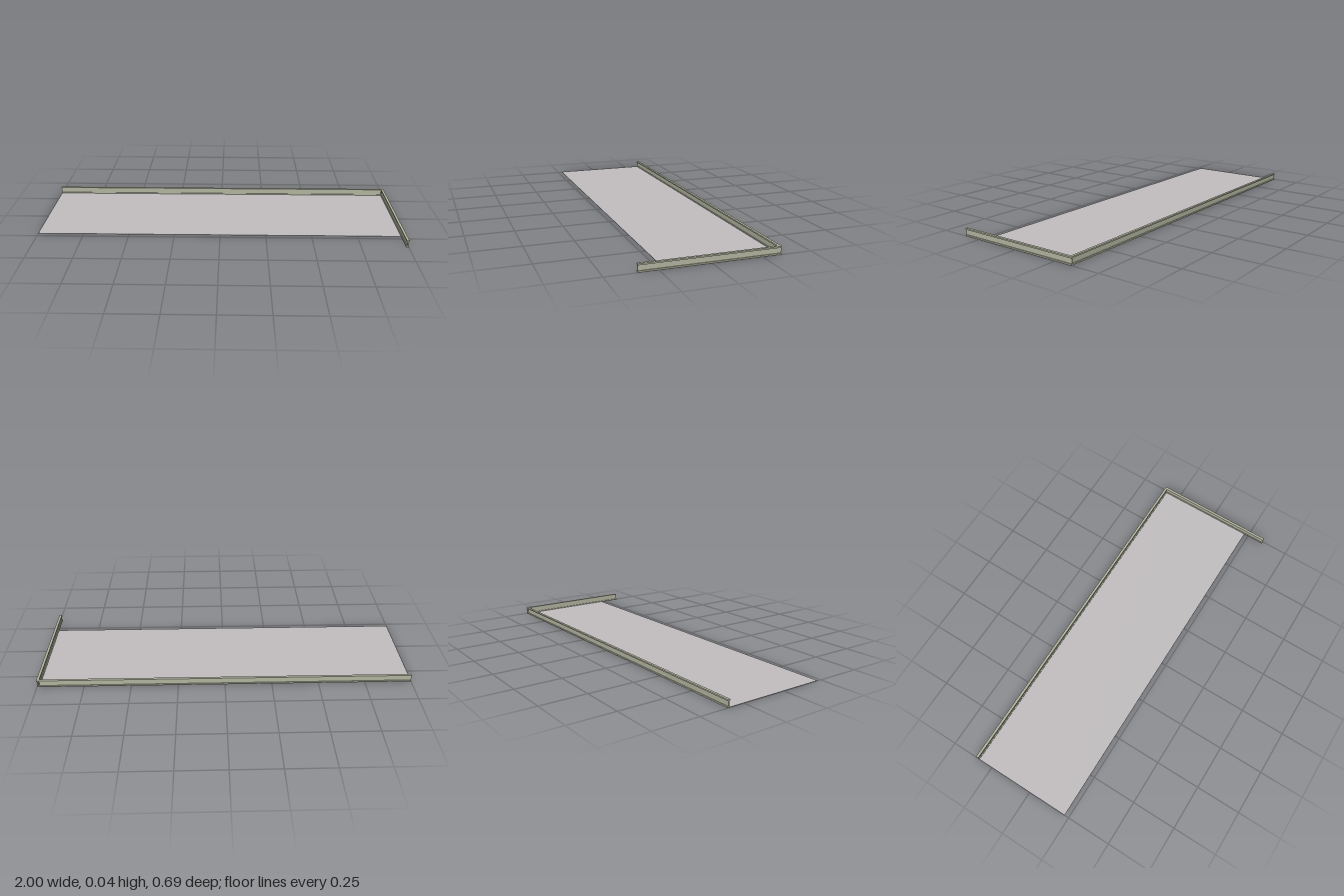
import * as THREE from 'three';

const W = 0.014, H = 0.04, FLANGE = 0.007, WEB = 0.004;

// I-shaped beam running along +z from 0 to length, centred on x, standing on y = 0
function beamGeometry(length) {
  const f = W / 2, w = WEB / 2;
  const right = [[f, 0], [f, FLANGE], [w, FLANGE], [w, H - FLANGE], [f, H - FLANGE], [f, H]];
  const left = right.map(([x, y]) => [-x, y]).reverse();
  const shape = new THREE.Shape([...right, ...left].map(([x, y]) => new THREE.Vector2(x, y)));
  return new THREE.ExtrudeGeometry(shape, { depth: length, bevelEnabled: false });
}

export function createModel() {
  const group = new THREE.Group();
  const metal = new THREE.MeshStandardMaterial({ name: 'olive grey metal', color: 0xb2b49f });
  const slab = new THREE.MeshStandardMaterial({ name: 'pale grey panel', color: 0xc2bebf });

  // Side beam, longer than the panel
  const sideBeam = new THREE.Mesh(beamGeometry(0.694), metal);
  sideBeam.name = 'sideBeam';
  sideBeam.position.set(1 - W / 2, 0, -0.347);
  group.add(sideBeam);

  // Back beam, butting against the side beam
  const backBeam = new THREE.Mesh(beamGeometry(2 - W), metal);
  backBeam.name = 'backBeam';
  backBeam.rotation.y = Math.PI / 2;
  backBeam.position.set(-1, 0, -0.347 + W / 2);
  group.add(backBeam);

  // Thin floor panel, tucked into the lower flanges
  const x0 = -1, x1 = 1 - W / 2, z0 = -0.347 + W / 2, z1 = 0.225;
  const panel = new THREE.Mesh(new THREE.BoxGeometry(x1 - x0, 0.002, z1 - z0), slab);
  panel.name = 'floorPanel';
  panel.position.set((x0 + x1) / 2, 0.0015, (z0 + z1) / 2);
  group.add(panel);

  return group;
}
